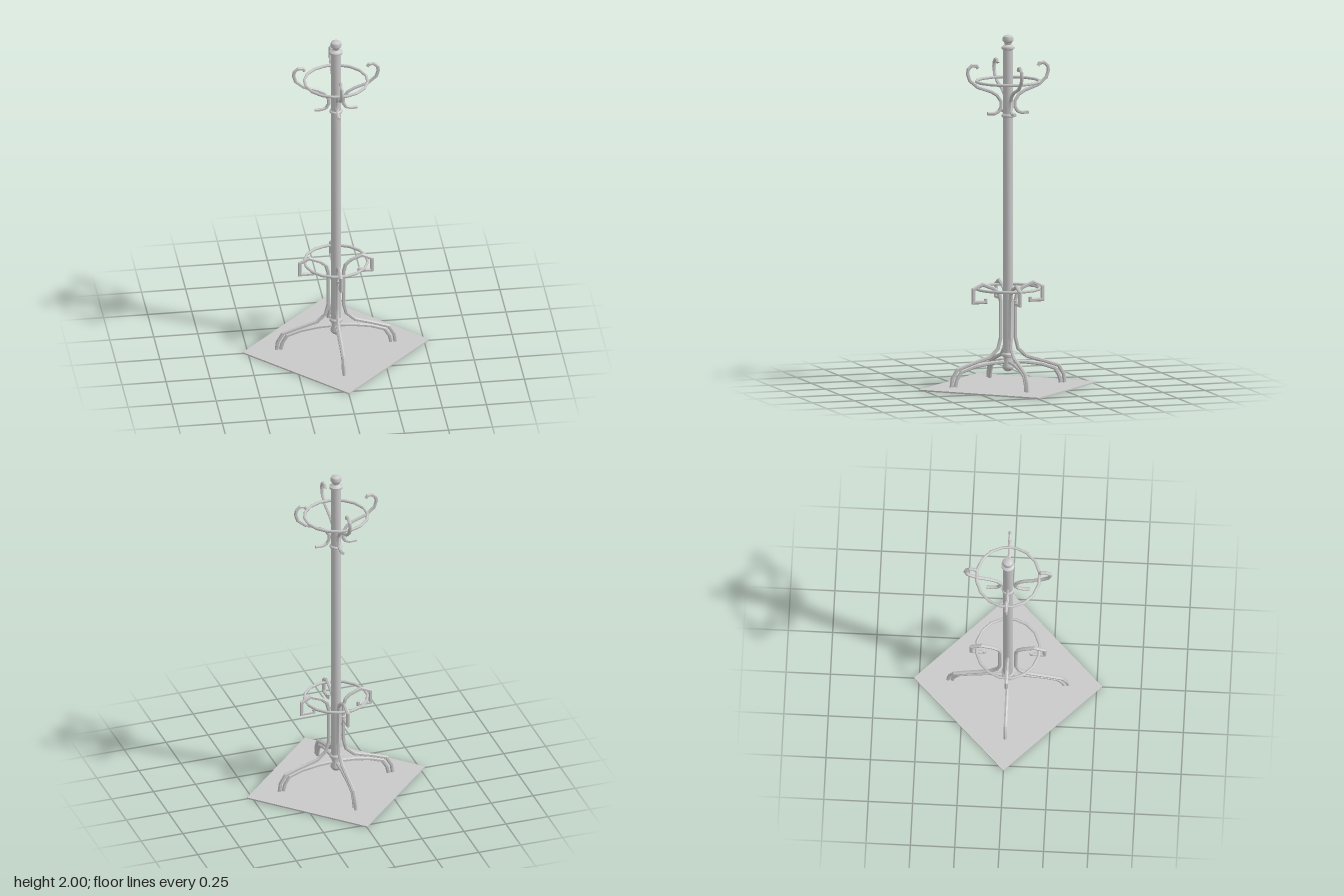
import * as THREE from 'three';
import { toCreasedNormals } from 'three/addons/utils/BufferGeometryUtils.js';

const grey = new THREE.MeshStandardMaterial({ color: 0xc8c8c8 });
grey.name = 'grey';

function part(name, geometry, parent) {
  const mesh = new THREE.Mesh(geometry, grey);
  mesh.name = name;
  parent.add(mesh);
  return mesh;
}

// Sweeps a six-sided rod along a flat path of [x, y] points, with mitred joints and closed ends
function bentRod(path, radius, sides = 6) {
  const pts = path.map(([x, y]) => new THREE.Vector2(x, y));
  const positions = [], index = [];
  const n = pts.length;
  pts.forEach((p, i) => {
    const a = p.clone().sub(pts[Math.max(i - 1, 0)]).normalize();
    const b = pts[Math.min(i + 1, n - 1)].clone().sub(p).normalize();
    const t = a.clone().add(b).normalize();
    const along = i === 0 ? b : a;
    const mitre = Math.min(1 / Math.max(t.dot(along), 0.1), 1.5);
    for (let k = 0; k < sides; k++) {
      const w = (k / sides) * Math.PI * 2;
      const s = Math.cos(w) * radius * mitre;
      positions.push(p.x - t.y * s, p.y + t.x * s, Math.sin(w) * radius);
    }
  });
  for (let i = 0; i < n - 1; i++) {
    for (let k = 0; k < sides; k++) {
      const a = i * sides + k, b = i * sides + (k + 1) % sides;
      index.push(a, b, a + sides, b, b + sides, a + sides);
    }
  }
  const last = (n - 1) * sides;
  for (let k = 1; k < sides - 1; k++) {
    index.push(0, k + 1, k, last, last + k, last + k + 1);
  }
  const g = new THREE.BufferGeometry();
  g.setAttribute('position', new THREE.Float32BufferAttribute(positions, 3));
  g.setIndex(index);
  return toCreasedNormals(g, 0.5);
}

export function createModel() {
  const model = new THREE.Group();
  model.name = 'coatStand';

  // Thin square floor plate, turned to a diamond
  const plate = part('floorPlate', new THREE.BoxGeometry(0.75, 0.008, 0.75), model);
  plate.position.y = 0.004;
  plate.rotation.y = Math.PI / 4;

  // Turned pole with bottom ball, collars and top knob
  const profile = [
    [0, 0.088], [0.018, 0.092], [0.03, 0.105], [0.032, 0.115], [0.026, 0.13],
    [0.026, 0.17], [0.037, 0.175], [0.037, 0.187], [0.029, 0.195],
    [0.029, 1.53], [0.036, 1.535], [0.036, 1.546], [0.029, 1.552],
    [0.029, 1.915], [0.038, 1.92], [0.038, 1.932], [0.027, 1.938],
    [0.019, 1.945], [0.021, 1.955], [0.03, 1.964], [0.032, 1.976],
    [0.028, 1.99], [0.015, 1.998], [0, 2],
  ].map(([r, y]) => new THREE.Vector2(r, y));
  part('pole', toCreasedNormals(new THREE.LatheGeometry(profile, 16), 0.6), model);

  // Hoops for coats and umbrellas
  for (const [name, y] of [['coatRing', 1.736], ['umbrellaRing', 0.56]]) {
    const ring = new THREE.TorusGeometry(0.179, 0.0085, 6, 16);
    ring.rotateZ(Math.PI / 16);
    ring.rotateX(Math.PI / 2);
    part(name, ring, model).position.y = y;
  }

  // S-shaped double hook: upper curl, waist at the pole, small lower hook
  const hook = bentRod([
    [0.178, 1.818], [0.188, 1.832], [0.215, 1.834], [0.236, 1.815], [0.241, 1.79],
    [0.228, 1.75], [0.18, 1.71], [0.1, 1.682], [0.065, 1.66], [0.042, 1.625],
    [0.042, 1.59], [0.056, 1.567], [0.08, 1.556], [0.122, 1.558],
  ], 0.01);

  // Leg that climbs the pole and ends in an open scroll
  const leg = bentRod([
    [0.337, 0.012], [0.331, 0.06], [0.302, 0.11], [0.21, 0.142], [0.11, 0.172],
    [0.06, 0.218], [0.044, 0.28], [0.044, 0.49], [0.055, 0.535], [0.085, 0.562],
    [0.15, 0.588], [0.205, 0.562], [0.205, 0.488], [0.133, 0.488], [0.133, 0.506],
  ], 0.011);

  for (let i = 0; i < 4; i++) {
    const arm = new THREE.Group();
    arm.name = 'arm' + (i + 1);
    arm.rotation.y = (i * Math.PI) / 2;
    part('coatHook', hook, arm);
    part('scrollLeg', leg, arm);
    model.add(arm);
  }

  // Two crossed arches tucked beneath the legs
  const half = [[0.313, 0.012], [0.305, 0.05], [0.278, 0.096], [0.2, 0.123], [0.1, 0.139]];
  const arch = bentRod(
    [...half, [0, 0.144], ...half.map(([x, y]) => [-x, y]).reverse()], 0.011);
  for (let i = 0; i < 2; i++) {
    part('footArch', arch, model).rotation.y = (i * Math.PI) / 2;
  }

  return model;
}
